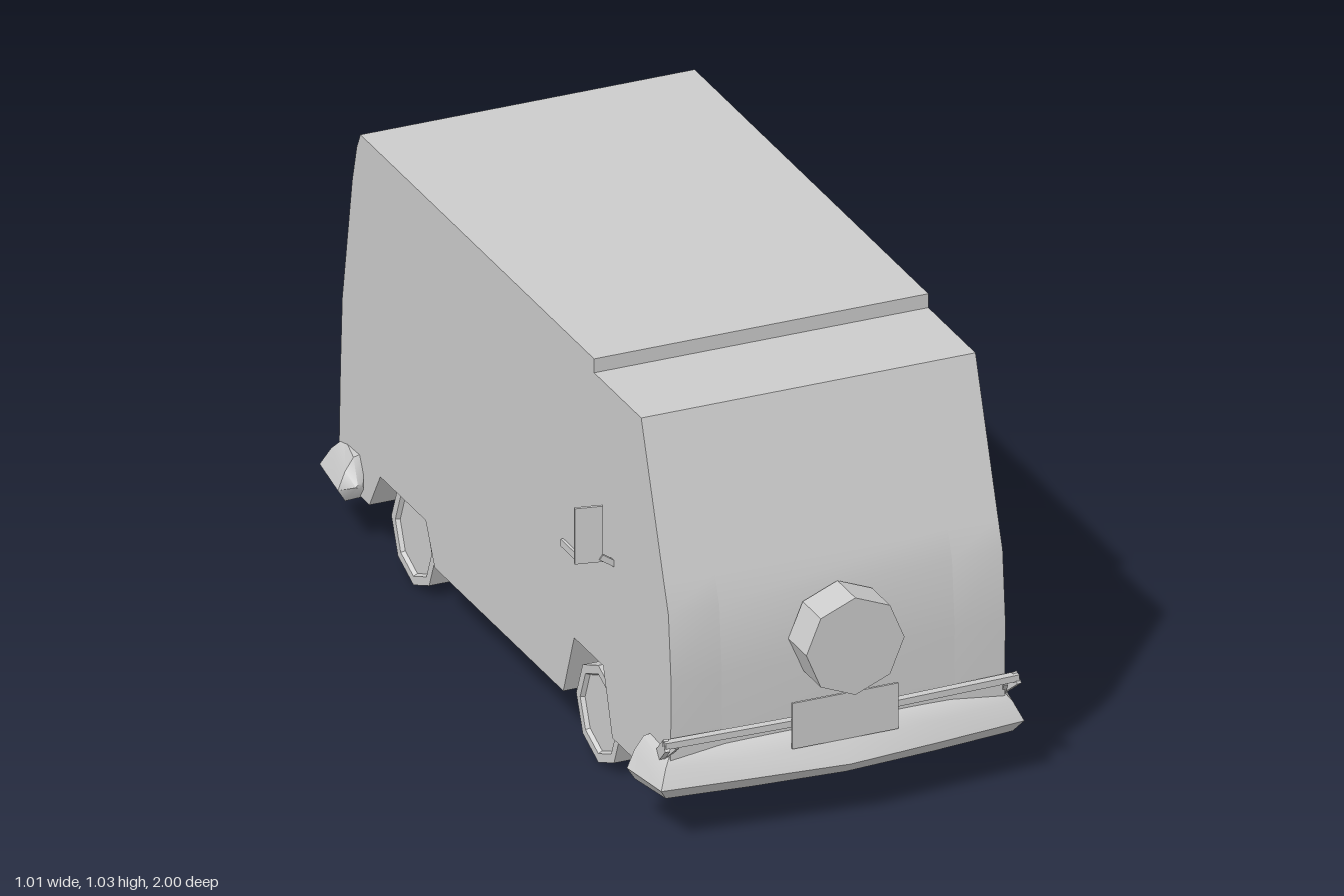
import * as THREE from 'three';
import { toCreasedNormals } from 'three/addons/utils/BufferGeometryUtils.js';

const grey = new THREE.MeshStandardMaterial({ color: 0xcccccc });
const flat = new THREE.MeshStandardMaterial({ color: 0xcccccc, flatShading: true });

function add(parent, name, geometry, material = grey) {
  const mesh = new THREE.Mesh(geometry, material);
  mesh.name = name;
  parent.add(mesh);
  return mesh;
}

function box(parent, name, w, h, d, x, y, z) {
  const mesh = add(parent, name, new THREE.BoxGeometry(w, h, d));
  mesh.position.set(x, y, z);
  return mesh;
}

// Straight bar between two points
function bar(parent, name, a, b, w, h) {
  const from = new THREE.Vector3(...a), to = new THREE.Vector3(...b);
  const mesh = add(parent, name, new THREE.BoxGeometry(w, h, from.distanceTo(to)));
  mesh.position.copy(from).add(to).multiplyScalar(0.5);
  mesh.lookAt(to);
  return mesh;
}

// Side outline as [z, y], extruded across x
const upper = [
  [0.9, 0.125], [0.905, 0.4], [0.89, 0.57], [0.865, 0.64], [0.74, 1], [0.48, 1], [0.48, 1.035],
  [-0.81, 1.035], [-0.83, 0.995], [-0.855, 0.9], [-0.91, 0.58], [-0.92, 0.4], [-0.93, 0.125],
];
const arches = [
  [-0.76, 0.125], [-0.7, 0.222], [-0.45, 0.222], [-0.4, 0.125],
  [0.31, 0.125], [0.37, 0.285], [0.53, 0.285], [0.58, 0.125],
];

function slab(outline, x0, x1) {
  const shape = new THREE.Shape(outline.map(([z, y]) => new THREE.Vector2(z, y)));
  const g = new THREE.ExtrudeGeometry(shape, { depth: x1 - x0, bevelEnabled: false });
  g.rotateY(-Math.PI / 2).translate(x1, 0, 0);
  return toCreasedNormals(g, 0.5);
}

// Wraparound bumper: cross-section swept through stations from -x to +x
function bumperGeometry() {
  const section = [[0, 0.12], [0.72, 0.12], [1, 0.15], [0.72, 0.195], [0.4, 0.225], [0, 0.23]];
  // outer x, z, inner x, z, height scale
  const half = [
    [0.235, 0.953, 0.2, 0.88, 1], [0.452, 0.93, 0.38, 0.86, 1],
    [0.472, 0.785, 0.405, 0.79, 1], [0.44, 0.757, 0.42, 0.76, 0.1],
  ];
  const stations = [
    ...half.map(([ox, oz, ix, iz, s]) => [-ox, oz, -ix, iz, s]).reverse(),
    [0, 0.975, 0, 0.88, 1], ...half,
  ];
  const pos = [], index = [], n = section.length;
  for (const [ox, oz, ix, iz, s] of stations)
    for (const [t, y] of section)
      pos.push(ix + (ox - ix) * t, 0.165 + (y - 0.165) * s, iz + (oz - iz) * t);
  for (let i = 0; i < stations.length - 1; i++)
    for (let j = 0; j < n; j++) {
      const a = i * n + j, b = i * n + (j + 1) % n;
      index.push(a, a + n, b, b, a + n, b + n);
    }
  const last = (stations.length - 1) * n;
  for (let j = 1; j < n - 1; j++) index.push(0, j, j + 1, last, last + j + 1, last + j);
  const g = new THREE.BufferGeometry();
  g.setAttribute('position', new THREE.Float32BufferAttribute(pos, 3));
  g.setIndex(index);
  return toCreasedNormals(g.toNonIndexed(), 0.75);
}

// Eight-sided wheel with a recessed disc, outer face towards +y
function wheelGeometry() {
  const profile = [[0, -0.04], [0.122, -0.04], [0.122, 0.04], [0.1, 0.04], [0.095, 0.03], [0, 0.03]];
  return new THREE.LatheGeometry(profile.map(([r, y]) => new THREE.Vector2(r, y)), 8);
}

export function createModel() {
  const van = new THREE.Group();
  van.name = 'van';

  // Body: full centre, with wheel arches cut into both flanks
  const body = new THREE.Group();
  body.name = 'body';
  van.add(body);
  add(body, 'bodyCentre', slab(upper, -0.29, 0.29));
  add(body, 'leftFlank', slab([...upper, ...arches], 0.29, 0.416));
  add(body, 'rightFlank', slab([...upper, ...arches], -0.416, -0.29));

  // Bumpers
  const bumper = bumperGeometry();
  add(van, 'frontBumper', bumper);
  const rear = add(van, 'rearBumper', bumper);
  rear.rotation.y = Math.PI;
  rear.position.z = -0.025;

  // Number plate and spare wheel on the nose
  box(van, 'frontPlate', 0.264, 0.115, 0.006, 0, 0.2575, 0.942);
  const spare = add(van, 'spareWheel', new THREE.CylinderGeometry(0.122, 0.122, 0.1, 8), flat);
  spare.rotation.x = Math.PI / 2;
  spare.position.set(0, 0.457, 0.95);

  for (const s of [1, -1]) {
    const side = s > 0 ? 'left' : 'right';

    // Wheels
    for (const [end, z] of [['Front', 0.45], ['Rear', -0.57]]) {
      const wheel = add(van, side + end + 'Wheel', wheelGeometry(), flat);
      wheel.rotation.z = -s * Math.PI / 2;
      wheel.position.set(s * 0.352, 0.124, z);
    }

    // Guard rail above the front bumper, with ends folding back and down
    bar(van, side + 'GuardRail', [0, 0.26, 0.932], [s * 0.44, 0.26, 0.92], 0.02, 0.016);
    bar(van, side + 'GuardEnd', [s * 0.436, 0.26, 0.925], [s * 0.42, 0.195, 0.845], 0.012, 0.03);
    bar(van, side + 'GuardBrace', [s * 0.41, 0.25, 0.92], [s * 0.425, 0.2, 0.87], 0.01, 0.012);

    // Door mirror
    const mirror = box(van, side + 'Mirror', 0.066, 0.14, 0.008, s * 0.472, 0.645, 0.574);
    mirror.rotation.y = s * 0.2;
    bar(van, side + 'MirrorArm', [s * 0.412, 0.565, 0.583], [s * 0.446, 0.588, 0.581], 0.012, 0.014);

    // Front door handle
    box(van, side + 'DoorHandle', 0.012, 0.018, 0.09, s * 0.417, 0.5, 0.355);
  }

  // Sliding door handle and its rail, on the left only
  box(van, 'slidingDoorHandle', 0.012, 0.05, 0.018, 0.417, 0.485, 0.23);
  box(van, 'slidingDoorRail', 0.006, 0.006, 0.5, 0.415, 0.91, 0.01);

  return van;
}
